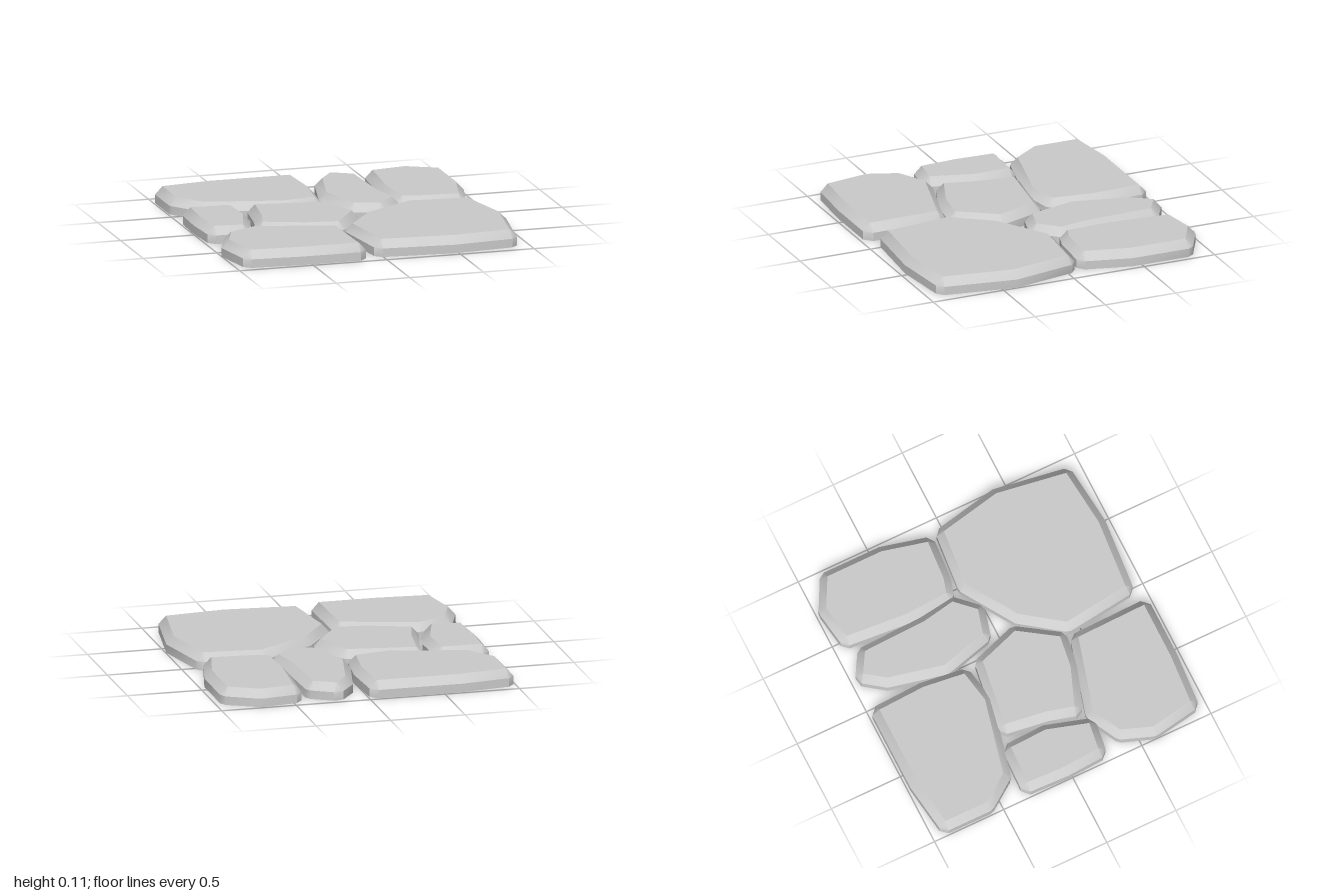
import * as THREE from 'three';
import { toCreasedNormals } from 'three/addons/utils/BufferGeometryUtils.js';

const HEIGHT = 0.11, WALL = 0.057, BEVEL = 0.05;

// Flat top outline of each stone as [x, z], clockwise seen from above
const STONES = {
  backLeftStone: [[-.94, -.89], [-.61, -.935], [-.06, -.935], [-.045, -.61], [-.08, -.33], [-.3, -.29], [-.81, -.41], [-.94, -.59]],
  backMiddleStone: [[.21, -.92], [.345, -.84], [.36, -.4], [.4, -.18], [.28, -.055], [.115, -.1], [.03, -.42], [.115, -.79]],
  backRightStone: [[.49, -.9], [.72, -.935], [.915, -.83], [.915, -.44], [.84, -.14], [.57, -.16], [.47, -.19], [.455, -.49]],
  smallSideStone: [[-.935, -.295], [-.67, -.285], [-.66, -.03], [-.745, .245], [-.93, .22], [-.945, -.03]],
  centreStone: [[-.51, -.25], [-.055, -.185], [.04, .095], [-.125, .34], [-.34, .31], [-.6, .21], [-.55, .03]],
  frontLeftStone: [[-.68, .305], [-.18, .445], [-.17, .925], [-.56, .925], [-.9, .9], [-.95, .605], [-.875, .405]],
  frontRightStone: [[.475, -.05], [.86, -.015], [.945, .405], [.87, .875], [.475, .915], [0, .875], [-.055, .425], [.135, .165]],
};

// Pair each top corner with its offset rim points: two at sharp corners, one at shallow ones
function rimPairs(outline) {
  const pts = outline.map(([x, z]) => new THREE.Vector2(x, z));
  const n = pts.length;
  const normals = pts.map((p, i) => {
    const d = pts[(i + 1) % n].clone().sub(p).normalize();
    return new THREE.Vector2(d.y, -d.x);
  });
  const pairs = [];
  pts.forEach((p, i) => {
    const a = normals[(i + n - 1) % n], b = normals[i];
    const turn = Math.acos(Math.min(1, a.dot(b)));
    if (turn < 0.42) {
      const mitre = a.clone().add(b).normalize();
      pairs.push([p, p.clone().addScaledVector(mitre, BEVEL / Math.cos(turn / 2))]);
    } else {
      for (const m of [a, b]) pairs.push([p, p.clone().addScaledVector(m, BEVEL)]);
    }
  });
  return pairs;
}

// Stone shell: upright wall, sloped bevel and flat top, open underneath
function stoneGeometry(outline) {
  const pairs = rimPairs(outline);
  const centre = new THREE.Vector2();
  outline.forEach(([x, z]) => centre.add(new THREE.Vector2(x, z)));
  centre.divideScalar(outline.length);

  const lift = (p, y) => new THREE.Vector3(p.x, y, p.y);
  const rings = [
    pairs.map(([, rim]) => lift(rim, 0)),
    pairs.map(([, rim]) => lift(rim, WALL)),
    pairs.map(([top]) => lift(top, HEIGHT)),
    pairs.map(() => lift(centre, HEIGHT)),
  ];
  const verts = [];
  const tri = (a, b, c) => {
    if (a.equals(b) || b.equals(c) || a.equals(c)) return;
    verts.push(a, b, c);
  };
  for (let r = 0; r < 3; r++) {
    for (let i = 0; i < pairs.length; i++) {
      const j = (i + 1) % pairs.length;
      const low = rings[r], high = rings[r + 1];
      tri(low[j], low[i], high[i]);
      tri(low[j], high[i], high[j]);
    }
  }
  const geometry = new THREE.BufferGeometry().setFromPoints(verts);
  return toCreasedNormals(geometry, 0.65);
}

export function createModel() {
  const model = new THREE.Group();
  model.name = 'steppingStones';
  const material = new THREE.MeshStandardMaterial({ color: 0xcccccc, side: THREE.DoubleSide });
  for (const [name, outline] of Object.entries(STONES)) {
    const stone = new THREE.Mesh(stoneGeometry(outline), material);
    stone.name = name;
    model.add(stone);
  }
  return model;
}
